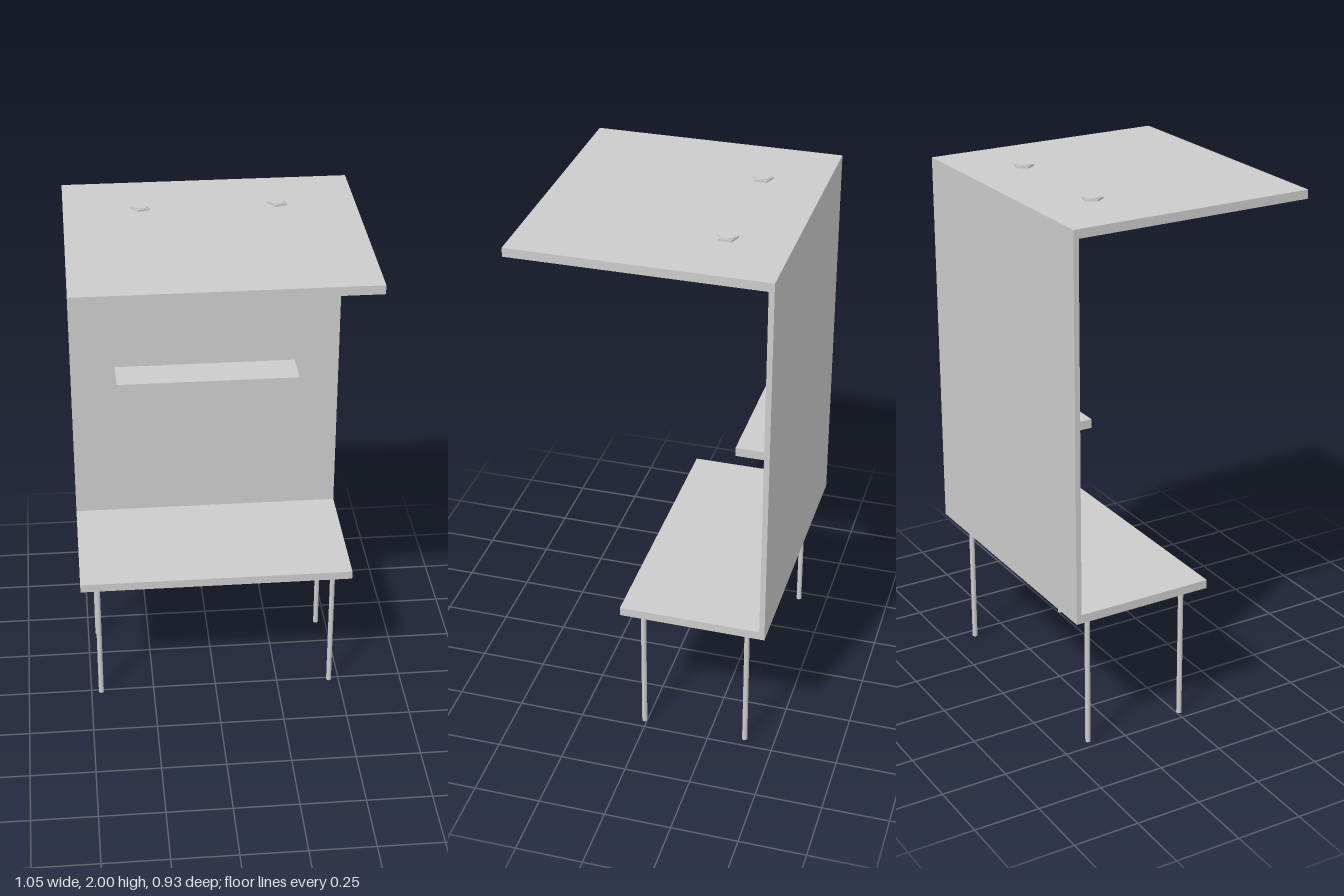
import * as THREE from 'three';

const material = new THREE.MeshStandardMaterial({ color: 0xcccccc, flatShading: true });
const smooth = new THREE.MeshStandardMaterial({ color: 0xcccccc });

export function createModel() {
  const model = new THREE.Group();

  const add = (name, geometry, x, y, z, mat = material) => {
    const mesh = new THREE.Mesh(geometry, mat);
    mesh.name = name;
    mesh.position.set(x, y, z);
    model.add(mesh);
  };
  // board spanning the given ranges, centred on x = 0
  const board = (name, width, y0, y1, z0, z1) =>
    add(name, new THREE.BoxGeometry(width, y1 - y0, z1 - z0), 0, (y0 + y1) / 2, (z0 + z1) / 2);
  // upright cylinder between two heights
  const post = (name, radius, y0, y1, x, z, sides = 24, mat = smooth) =>
    add(name, new THREE.CylinderGeometry(radius, radius, y1 - y0, sides, 1, false, -Math.PI / 2),
      x, (y0 + y1) / 2, z, mat);

  // boards
  board('roof', 1.054, 1.957, 1.99, -0.467, 0.467);
  board('backPanel', 1.054, 0.573, 1.957, -0.467, -0.447);
  board('shelf', 0.706, 1.197, 1.23, -0.447, -0.303);
  board('counter', 1.054, 0.54, 0.573, -0.467, 0.08);

  for (const side of [-1, 1]) {
    // legs
    for (const z of [0.01, -0.387]) post('leg', 0.01, 0, 0.54, side * 0.461, z, 16);

    // roof fixings: round pin, five-sided nut above, disc below
    const x = side * 0.247, z = -0.235;
    post('fixingPin', 0.029, 1.945, 2, x, z);
    post('fixingNut', 0.039, 1.99, 1.997, x, z, 5, material);
    post('fixingDisc', 0.042, 1.945, 1.957, x, z);
  }
  return model;
}
